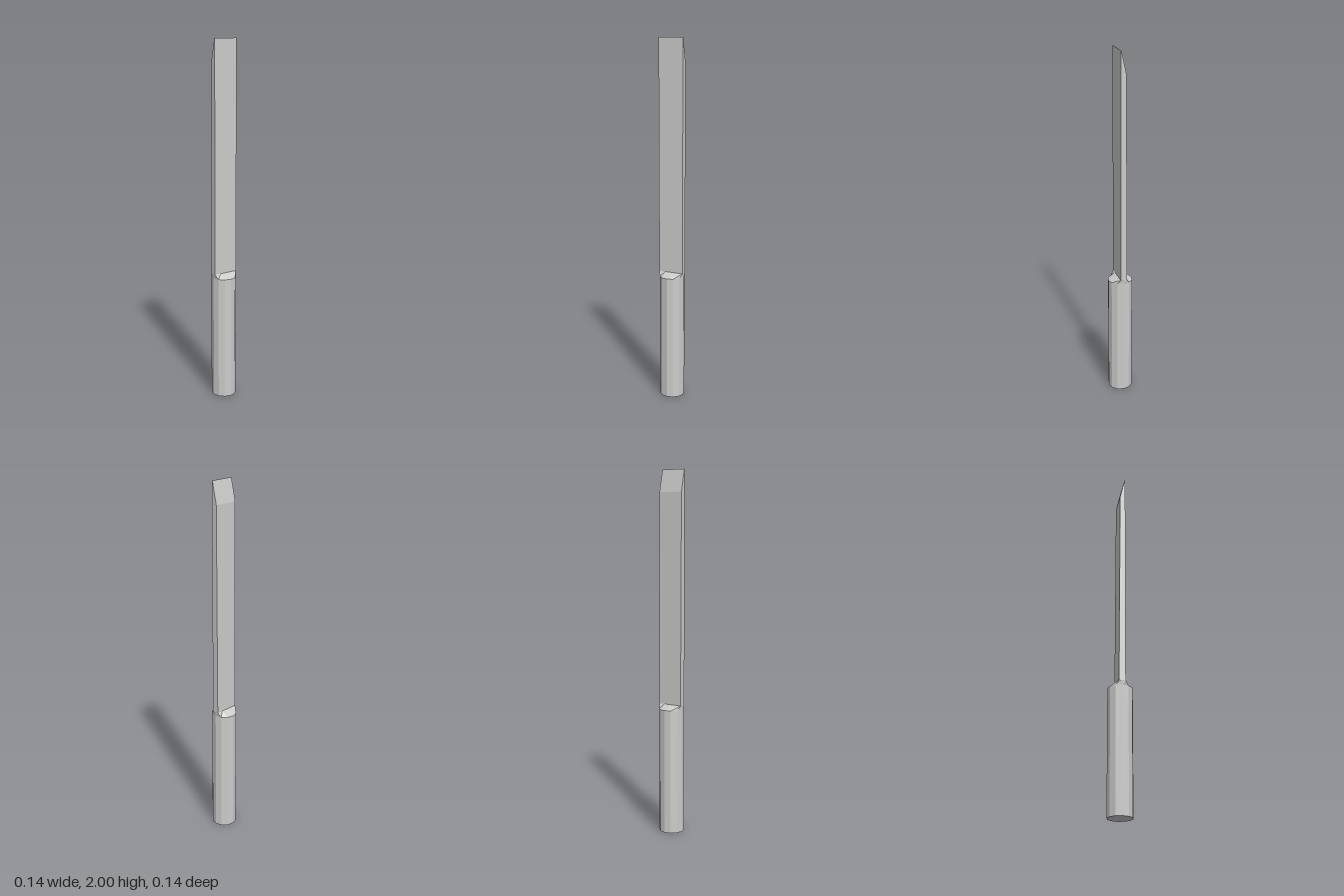
import * as THREE from 'three';

const SIDES = 12, RADIUS = 0.069;
const HANDLE_TOP = 0.697, BLADE_START = 0.722;
const HALF_WIDTH = 0.071, HALF_THICK = 0.018;

export function createModel() {
  const group = new THREE.Group();
  const material = new THREE.MeshStandardMaterial({ color: 0xcccccc, flatShading: true });
  const add = (name, geometry, y = 0) => {
    const mesh = new THREE.Mesh(geometry, material);
    mesh.name = name;
    mesh.position.y = y;
    group.add(mesh);
  };

  // Twelve-sided handle
  add('handle', new THREE.CylinderGeometry(RADIUS, RADIUS, HANDLE_TOP, SIDES), HANDLE_TOP / 2);

  // Shoulder: the top ring is squeezed into the blade's rectangular section
  const height = BLADE_START - HANDLE_TOP;
  const shoulder = new THREE.CylinderGeometry(RADIUS, RADIUS, height, SIDES, 1, true);
  const p = shoulder.attributes.position;
  for (let i = 0; i < p.count; i++) {
    if (p.getY(i) < 0) continue;
    const x = p.getX(i), z = p.getZ(i);
    if (Math.abs(x) > 0.05) p.setX(i, Math.sign(x) * HALF_WIDTH);
    p.setZ(i, THREE.MathUtils.clamp(z, -HALF_THICK, HALF_THICK));
  }
  shoulder.computeVertexNormals();
  add('shoulder', shoulder, HANDLE_TOP + height / 2);

  // Blade: side profile with flat front, tapering back and bevelled tip
  const profile = new THREE.Shape([
    [-HALF_THICK, BLADE_START], [HALF_THICK, BLADE_START],
    [0.018, 2], [0.015, 2], [-0.012, 1.88],
  ].map(([z, y]) => new THREE.Vector2(z, y)));
  const blade = new THREE.ExtrudeGeometry(profile, { depth: HALF_WIDTH * 2, bevelEnabled: false });
  blade.translate(0, 0, -HALF_WIDTH);
  blade.rotateY(-Math.PI / 2);
  add('blade', blade);

  return group;
}
